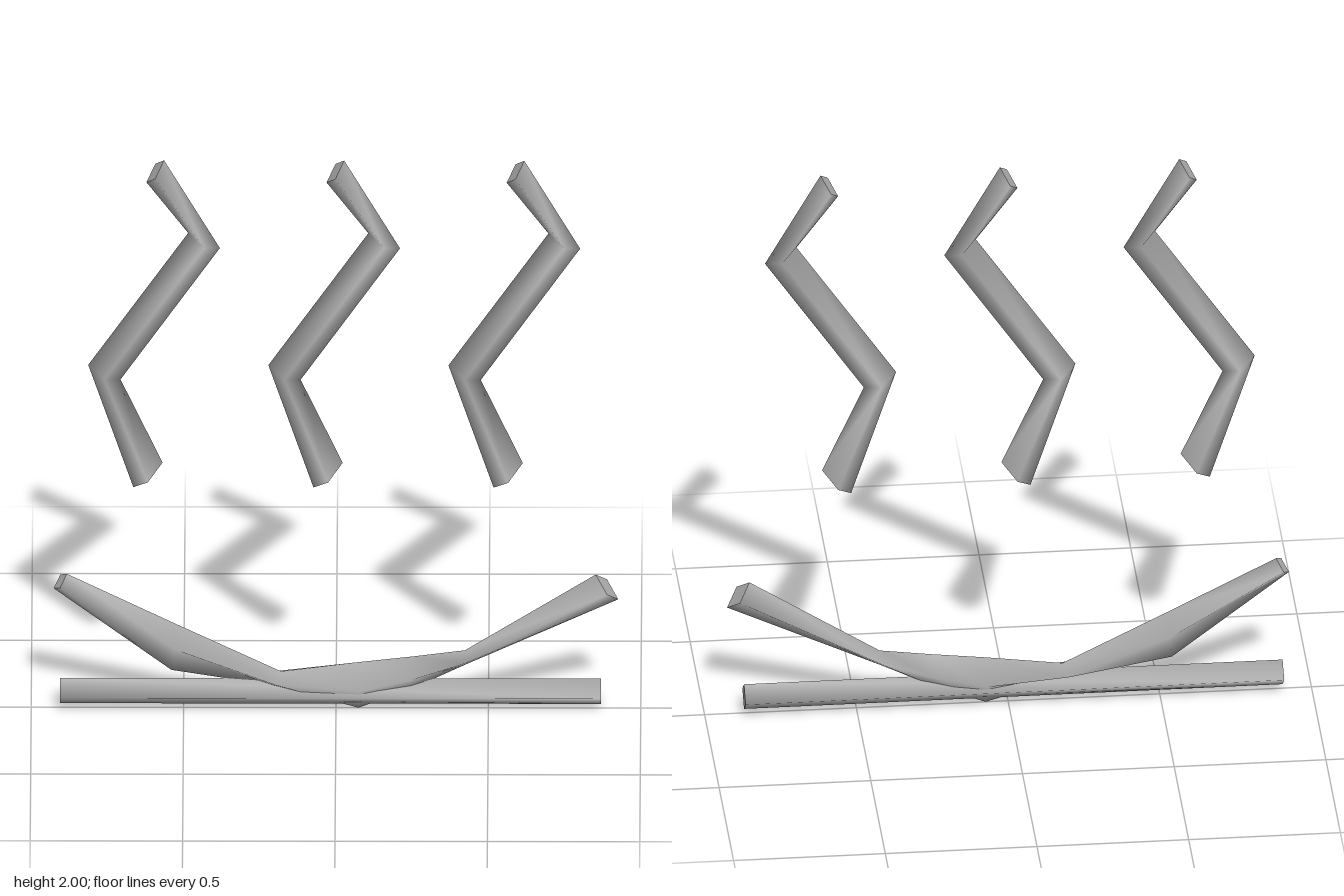
import * as THREE from 'three';

const DEPTH = 0.057;

// Diamond-section bar: each ring is [edgeAx, edgeAy, edgeBx, edgeBy, halfDepth?, ridge?]
// Edge A lies on the left of the travel direction, edge B on its right.
function diamondSweep(rings) {
  const pos = [], index = [];
  const section = ([ax, ay, bx, by, d = DEPTH, t = 0.5]) => {
    const mx = ax + (bx - ax) * t, my = ay + (by - ay) * t;
    return [ax, ay, 0, mx, my, d, bx, by, 0, mx, my, -d];
  };
  rings.forEach((ring) => pos.push(...section(ring)));
  for (let i = 0; i < rings.length - 1; i++) {
    for (let j = 0; j < 4; j++) {
      const k = (j + 1) % 4;
      const a = i * 4 + j, b = i * 4 + k, c = a + 4, d = b + 4;
      index.push(a, b, d, a, d, c);
    }
  }
  // Flat end caps with their own vertices
  const s = rings.length * 4, e = s + 4;
  pos.push(...section(rings[0]), ...section(rings[rings.length - 1]));
  index.push(s, s + 2, s + 1, s, s + 3, s + 2);
  index.push(e, e + 1, e + 2, e, e + 2, e + 3);

  const geo = new THREE.BufferGeometry();
  geo.setAttribute('position', new THREE.Float32BufferAttribute(pos, 3));
  geo.setIndex(index);
  geo.computeVertexNormals();
  return geo;
}

export function createModel() {
  const group = new THREE.Group();
  const grey = new THREE.MeshStandardMaterial({ color: 0xb4b4b4 });
  grey.name = 'grey';

  const add = (name, geo, x = 0) => {
    const mesh = new THREE.Mesh(geo, grey);
    mesh.name = name;
    mesh.position.x = x;
    group.add(mesh);
  };

  // Three zigzag wisps, top to bottom
  const wisp = diamondSweep([
    [0.027, 2.0, -0.031, 1.92],
    [0.21, 1.68, 0.106, 1.735],
    [-0.116, 1.2, -0.222, 1.253],
    [0.022, 0.897, -0.074, 0.807],
  ]);
  ['rightWisp', 'middleWisp', 'leftWisp'].forEach((name, i) => add(name, wisp, (i - 1) * 0.591));

  // Bowed bar with deeper bellies between its bends
  add('bowedBar', diamondSweep([
    [-0.883, 0.49, -0.926, 0.437, 0.05],
    [-0.52, 0.305, -0.54, 0.14, 0.052, 0.4],
    [-0.18, 0.135, -0.21, 0.085, 0.054],
    [0.08, 0.17, 0.074, 0.003, 0.054],
    [0.25, 0.19, 0.243, 0.07, 0.054],
    [0.423, 0.213, 0.423, 0.16, 0.045],
    [0.852, 0.49, 0.926, 0.4],
  ]));

  // Straight bar at the base
  add('straightBar', diamondSweep([
    [-0.905, 0.11, -0.905, 0.018],
    [0.87, 0.11, 0.87, 0.018],
  ]));

  return group;
}
